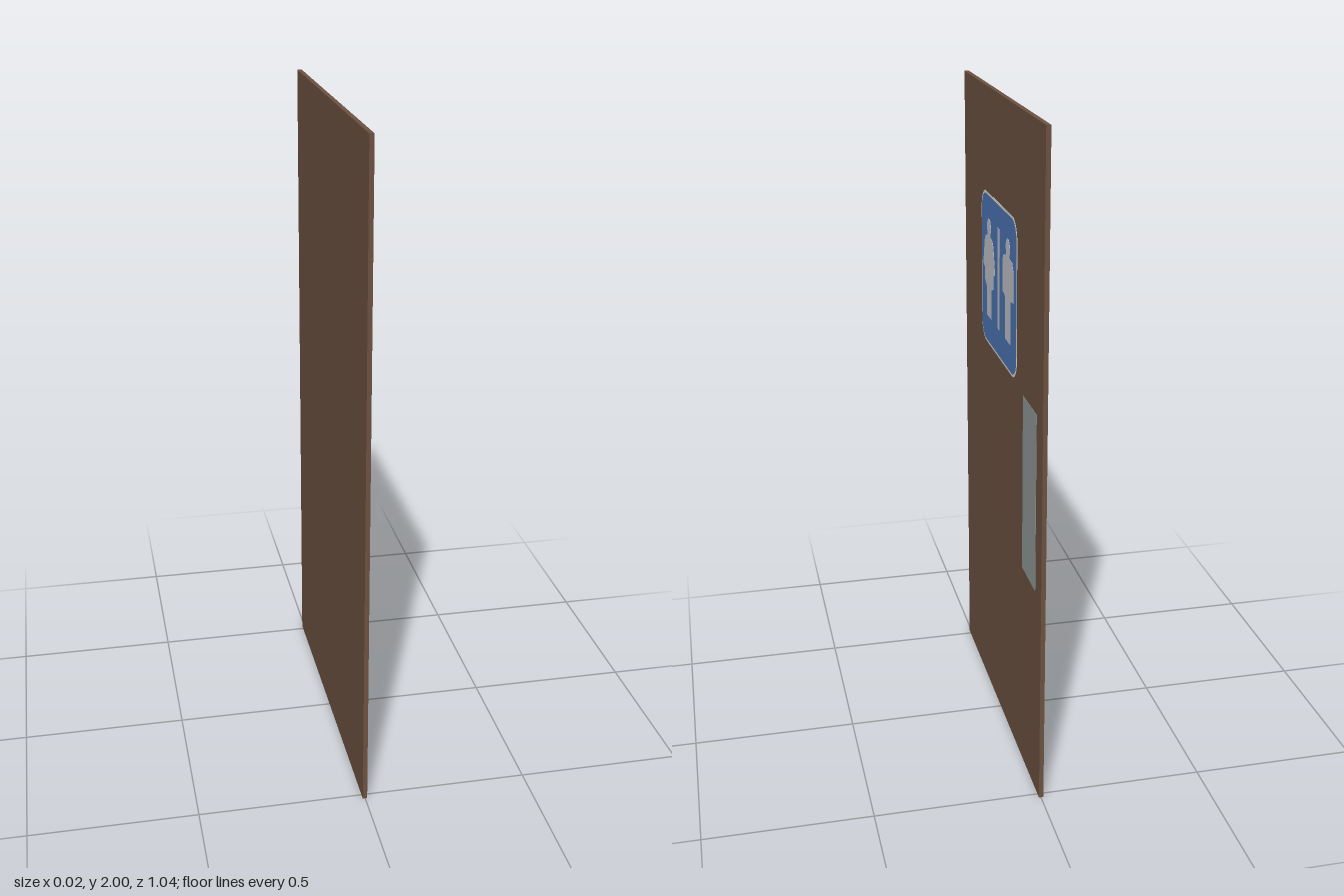
import * as THREE from 'three';

const material = (name, color) => {
  const m = new THREE.MeshStandardMaterial({ color });
  m.name = name;
  return m;
};

// Rounded rectangle centred on (cx, cy)
function roundedRect(cx, cy, w, h, r) {
  const s = new THREE.Shape();
  const x = w / 2 - r, y = h / 2 - r;
  s.absarc(cx + x, cy + y, r, 0, Math.PI / 2);
  s.absarc(cx - x, cy + y, r, Math.PI / 2, Math.PI);
  s.absarc(cx - x, cy - y, r, Math.PI, Math.PI * 1.5);
  s.absarc(cx + x, cy - y, r, Math.PI * 1.5, Math.PI * 2);
  s.closePath();
  return s;
}

function rect(x0, x1, y0, y1) {
  return new THREE.Shape([[x0, y0], [x1, y0], [x1, y1], [x0, y1]].map(p => new THREE.Vector2(...p)));
}

// Symmetric outline from its right half, listed bottom to top
function mirrored(cx, half) {
  const right = half.map(([x, y]) => new THREE.Vector2(cx + x, y));
  const left = half.map(([x, y]) => new THREE.Vector2(cx - x, y)).reverse();
  return new THREE.Shape([...right, ...left]);
}

function head(cx) {
  const s = new THREE.Shape();
  s.absarc(cx, 1.582, 0.027, 0, Math.PI * 2);
  return s;
}

export function createModel() {
  const brown = material('door brown', 0x6d5241);
  const blue = material('sign blue', 0x4b76b4);
  const cream = material('sign border cream', 0xdedad0);
  const white = material('pictogram light grey', 0xc3c5cb);
  const steel = material('push plate grey', 0x919899);

  const model = new THREE.Group();
  model.name = 'restroomDoor';
  const faceX = 0.006;

  // Door slab
  const door = new THREE.Mesh(new THREE.BoxGeometry(0.0135, 2, 1.038), brown);
  door.name = 'doorPanel';
  door.position.set(faceX - 0.00675, 1, 0);
  model.add(door);

  // Details drawn in a plane whose x runs along -z and which faces +x
  const details = new THREE.Group();
  details.name = 'doorDetails';
  details.rotation.y = Math.PI / 2;
  details.position.x = faceX;
  model.add(details);

  const plate = (name, shapes, mat, depth) => {
    const geo = new THREE.ExtrudeGeometry(shapes, { depth, bevelEnabled: false, curveSegments: 10 });
    const mesh = new THREE.Mesh(geo, mat);
    mesh.name = name;
    details.add(mesh);
  };

  // Sign backing: thin border around a blue field
  plate('signBorder', roundedRect(-0.027, 1.448, 0.476, 0.476, 0.062), cream, 0.0005);
  plate('signField', roundedRect(-0.027, 1.448, 0.461, 0.461, 0.057), blue, 0.0012);

  // Left figure, with flared arms and skirt
  const womanX = -0.154;
  const woman = mirrored(womanX, [
    [0.032, 1.3], [0.032, 1.393], [0.056, 1.403], [0.059, 1.445], [0.078, 1.452],
    [0.078, 1.472], [0.062, 1.53], [0.048, 1.55], [0.02, 1.555], [0.02, 1.57],
  ]);
  plate('leftFigure', woman, white, 0.002);
  plate('leftFigureHead', head(womanX), white, 0.002);

  // Right figure, with straight arms and legs
  const manX = 0.1;
  const man = mirrored(manX, [
    [0.036, 1.3], [0.036, 1.43], [0.05, 1.435], [0.069, 1.435],
    [0.069, 1.53], [0.055, 1.551], [0.02, 1.555], [0.02, 1.57],
  ]);
  plate('rightFigure', man, white, 0.002);
  plate('rightFigureHead', head(manX), white, 0.002);

  plate('signDivider', rect(-0.037, -0.011, 1.3, 1.611), white, 0.002);

  // Push plate near the door edge
  plate('pushPlate', rect(0.291, 0.45, 0.658, 1.2), steel, 0.001);

  return model;
}
